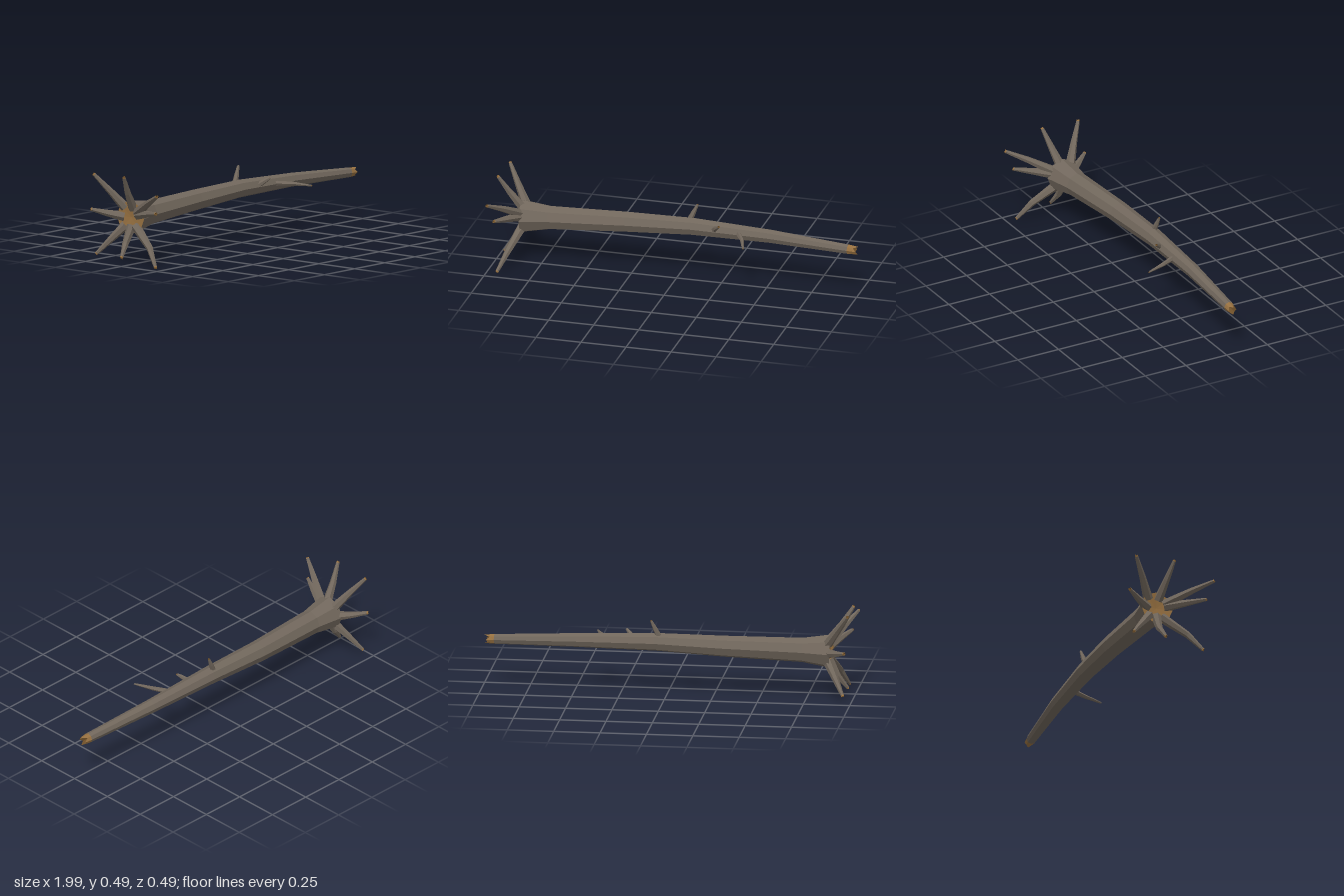
import * as THREE from 'three';

const material = (name, color) => {
  const m = new THREE.MeshStandardMaterial({ color, flatShading: true });
  m.name = name;
  return m;
};

// Cross-section ring: sides points around a centre, square to the tangent.
function ring(centre, tangent, ref, radius, sides, jag = 0) {
  const u = ref.clone().addScaledVector(tangent, -ref.dot(tangent)).normalize();
  const v = new THREE.Vector3().crossVectors(tangent, u);
  return Array.from({ length: sides }, (_, j) => {
    const a = (j / sides) * Math.PI * 2;
    const along = jag * [1, 0.25, 0.7, 0.1, 0.9, 0.35, 0.6, 0][j % 8];
    return centre.clone()
      .addScaledVector(u, Math.cos(a) * radius)
      .addScaledVector(v, Math.sin(a) * radius)
      .addScaledVector(tangent, along);
  });
}

function meshFrom(name, triangles, mat) {
  const g = new THREE.BufferGeometry().setFromPoints(triangles);
  g.computeVertexNormals();
  const mesh = new THREE.Mesh(g, mat);
  mesh.name = name;
  return mesh;
}

// Faces between neighbouring rings.
function skin(rings) {
  const out = [];
  for (let i = 0; i + 1 < rings.length; i++) {
    const p = rings[i], q = rings[i + 1], n = p.length;
    for (let j = 0; j < n; j++) {
      const k = (j + 1) % n;
      out.push(p[j], p[k], q[k], p[j], q[k], q[j]);
    }
  }
  return out;
}

// Fan from a ring to one point; flip turns it to face backwards.
function fan(points, tip, flip = false) {
  return points.flatMap((p, j) => {
    const q = points[(j + 1) % points.length];
    return flip ? [q, p, tip] : [p, q, tip];
  });
}

// Tapered limb along [x, y, z, radius] stations with a splintered end.
function limb(name, stations, sides, ref, tipLength, mats) {
  const group = new THREE.Group();
  group.name = name;
  const c = stations.map(s => new THREE.Vector3(s[0], s[1], s[2]));
  const last = c.length - 1;
  const tangents = c.map((_, i) => c[Math.min(i + 1, last)].clone()
    .sub(c[Math.max(i - 1, 0)]).normalize());
  const rings = c.map((p, i) => ring(p, tangents[i], ref, stations[i][3], sides));
  const t = tangents[last], r = stations[last][3];
  const end = ring(c[last].clone().addScaledVector(t, tipLength * 0.4), t, ref, r * 0.85, sides, tipLength * 0.6);
  group.add(
    meshFrom(name + 'Bark', skin(rings), mats.bark),
    meshFrom(name + 'Splinters', skin([rings[last], end]), mats.wood),
    meshFrom(name + 'Hollow', fan(end, c[last].clone().addScaledVector(t, -tipLength * 0.2)), mats.core),
    meshFrom(name + 'Base', fan(rings[0], c[0].clone().addScaledVector(tangents[0], r * 0.3), true), mats.wood));
  return group;
}

export function createModel() {
  const model = new THREE.Group();
  model.name = 'fallenTree';
  const mats = {
    bark: material('bark', 0x71675c),
    wood: material('splitWood', 0x967040),
    core: material('darkCore', 0x6e4f28),
  };
  const X = new THREE.Vector3(1, 0, 0), Y = new THREE.Vector3(0, 1, 0);

  // Trunk, flaring at the root end
  model.add(limb('trunk', [
    [-0.87, 0.246, -0.045, 0.092],
    [-0.72, 0.25, -0.053, 0.067],
    [-0.3, 0.263, -0.077, 0.058],
    [0.07, 0.276, -0.08, 0.049],
    [0.5, 0.27, -0.073, 0.038],
    [0.94, 0.255, -0.047, 0.027],
  ], 8, Y, 0.058, mats));

  // Roots spreading from the broken base: base, bend and tip
  const roots = [
    [[-0.86, 0.295, -0.034], [-0.93, 0.39, -0.013], [-0.987, 0.48, 0.009]],
    [[-0.86, 0.295, -0.09], [-0.92, 0.385, -0.145], [-0.98, 0.475, -0.205]],
    [[-0.86, 0.275, -0.005], [-0.93, 0.35, 0.13], [-0.985, 0.402, 0.235]],
    [[-0.86, 0.262, 0.0], [-0.91, 0.285, 0.11], [-0.955, 0.302, 0.202]],
    [[-0.86, 0.2, -0.015], [-0.905, 0.1, 0.12], [-0.942, 0.012, 0.19]],
    [[-0.86, 0.2, -0.045], [-0.91, 0.11, -0.046], [-0.96, 0.045, -0.03]],
    [[-0.86, 0.2, -0.085], [-0.91, 0.12, -0.15], [-0.955, 0.046, -0.208]],
    [[-0.86, 0.245, -0.095], [-0.915, 0.262, -0.17], [-0.965, 0.281, -0.235]],
  ];
  roots.forEach((path, i) => model.add(limb('root' + (i + 1),
    path.map((p, k) => [...p, [0.027, 0.018, 0.0095][k]]), 6, X, 0.01, mats)));

  // Broken side branches
  const barkOnly = { bark: mats.bark, wood: mats.bark, core: mats.core };
  const branches = [
    [[0.045, 0.3, -0.088, 0.017], [0.068, 0.35, -0.095, 0.013], [0.087, 0.392, -0.1, 0.007]],
    [[0.195, 0.285, -0.045, 0.015], [0.215, 0.306, -0.02, 0.012], [0.23, 0.319, -0.005, 0.008]],
    [[0.33, 0.275, -0.05, 0.015], [0.375, 0.277, 0.04, 0.011], [0.407, 0.273, 0.138, 0.005]],
  ];
  branches.forEach((b, i) => model.add(limb('branch' + (i + 1), b, 6, X, 0.008, barkOnly)));

  // Rest the lowest root on the ground
  model.position.y = -new THREE.Box3().setFromObject(model).min.y;
  return model;
}
